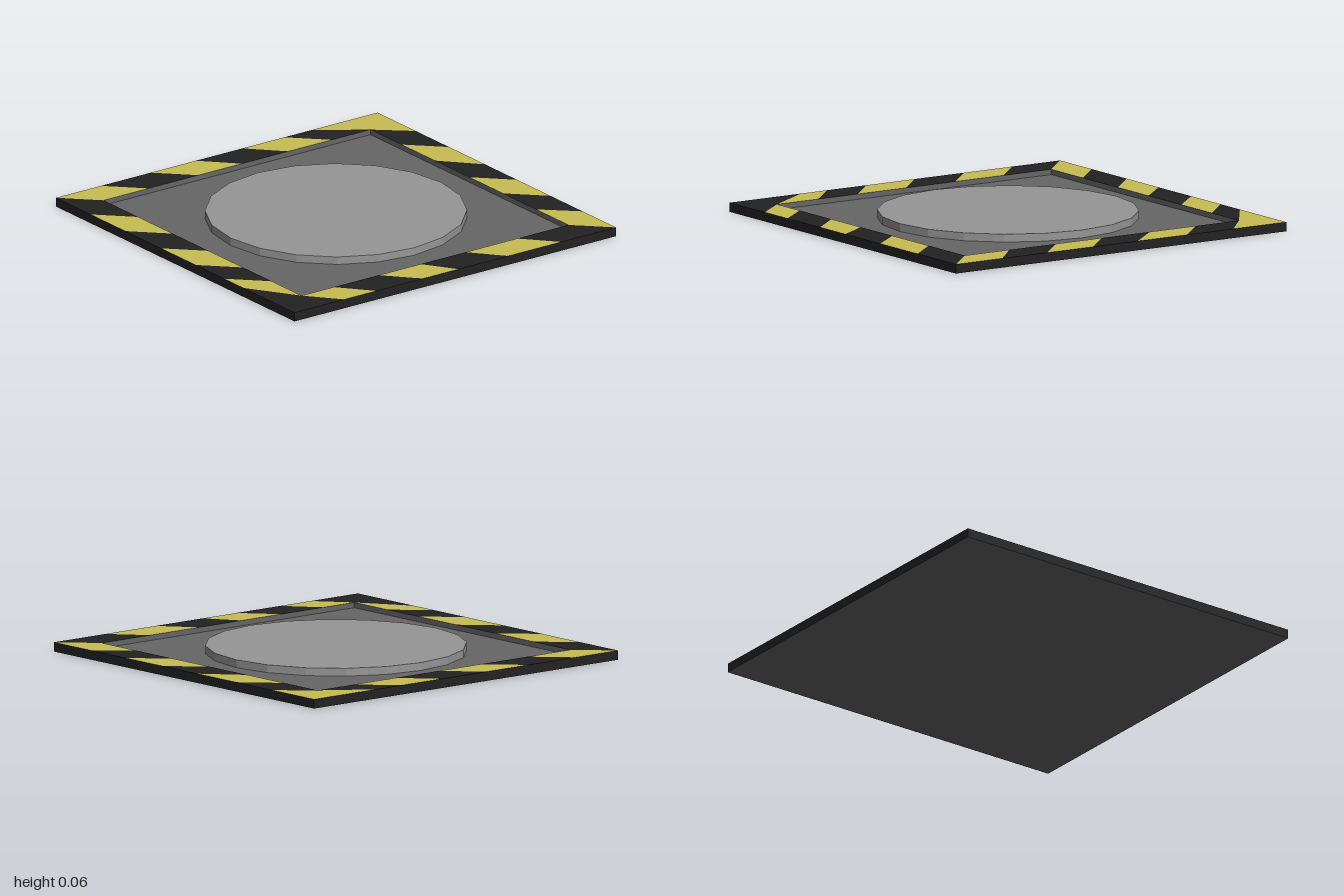
import * as THREE from 'three';
import { mergeGeometries } from 'three/addons/utils/BufferGeometryUtils.js';

const TOP = 0.047, FLOOR = 0.02, INNER = 0.83, DISC_TOP = 0.06;

const material = (color, side = THREE.FrontSide) =>
  new THREE.MeshStandardMaterial({ color, side, flatShading: true });

export function createModel() {
  const group = new THREE.Group();
  const black = material(0x222222);
  const yellow = material(0xc8be52);
  const grey = material(0x666666);

  const add = (name, geometry, mat) => {
    const mesh = new THREE.Mesh(geometry, mat);
    mesh.name = name;
    group.add(mesh);
  };

  // Four upright walls of a square, open above and below
  const walls = (half, y0, y1) =>
    new THREE.CylinderGeometry(half * Math.SQRT2, half * Math.SQRT2, y1 - y0, 4, 1, true)
      .rotateY(Math.PI / 4).translate(0, (y0 + y1) / 2, 0);

  // Plate: outer rim, underside, recess walls and recess floor
  add('outerRim', walls(1, 0, TOP), black);
  add('underside', new THREE.PlaneGeometry(2, 2).rotateX(Math.PI / 2), grey);
  add('recessWalls', walls(INNER, FLOOR, TOP), material(0x666666, THREE.BackSide));
  add('recessFloor',
    new THREE.PlaneGeometry(2 * INNER, 2 * INNER).rotateX(-Math.PI / 2).translate(0, FLOOR, 0), grey);

  // Raised round pad
  add('roundPad',
    new THREE.CylinderGeometry(0.655, 0.655, DISC_TOP - FLOOR, 20)
      .translate(0, (DISC_TOP + FLOOR) / 2, 0), material(0x969696));

  // Flat polygon on the border's top, from [x, z] corners
  const tiles = { black: [], yellow: [] };
  const tile = (color, corners) => {
    const shape = new THREE.Shape(corners.map(([x, z]) => new THREE.Vector2(x, -z)));
    tiles[color].push(new THREE.ShapeGeometry(shape).rotateX(-Math.PI / 2).translate(0, TOP, 0));
  };

  // Hazard stripes: break positions along the outer and inner edge of each side
  const sides = [
    { at: (t, d) => [t, -d], first: 'yellow', // back
      outer: [-1, -0.72, -0.41, -0.13, 0.16, 0.42, 0.59],
      inner: [-INNER, -0.55, -0.24, 0.03, 0.32, 0.59, INNER] },
    { at: (t, d) => [d, t], first: 'black', // left
      outer: [-0.68, -0.4, -0.1, 0.17, 0.45, 0.72, 1],
      inner: [-INNER, -0.57, -0.29, 0, 0.28, 0.56, INNER] },
    { at: (t, d) => [t, d], first: 'yellow', // front
      outer: [-0.69, -0.49, -0.2, 0.02, 0.33, 0.66, 1],
      inner: [-INNER, -0.63, -0.35, -0.09, 0.19, 0.51, INNER] },
    { at: (t, d) => [-d, t], first: 'black', // right
      outer: [-1, -0.71, -0.42, -0.12, 0.17, 0.41, 0.57],
      inner: [-INNER, -0.54, -0.25, 0.05, 0.34, 0.58, INNER] },
  ];
  for (const { at, first, outer, inner } of sides) {
    for (let i = 0; i < outer.length - 1; i++) {
      const color = (i % 2 === 0) === (first === 'yellow') ? 'yellow' : 'black';
      tile(color, [at(outer[i], 1), at(outer[i + 1], 1), at(inner[i + 1], INNER), at(inner[i], INNER)]);
    }
  }

  // Solid corners where the stripes change direction
  tile('yellow', [[0.59, -1], [1, -1], [1, -0.68], [INNER, -INNER]]);
  tile('black', [[-1, 0.57], [-1, 1], [-0.69, 1], [-INNER, INNER]]);

  add('blackStripes', mergeGeometries(tiles.black), black);
  add('yellowStripes', mergeGeometries(tiles.yellow), yellow);

  return group;
}
